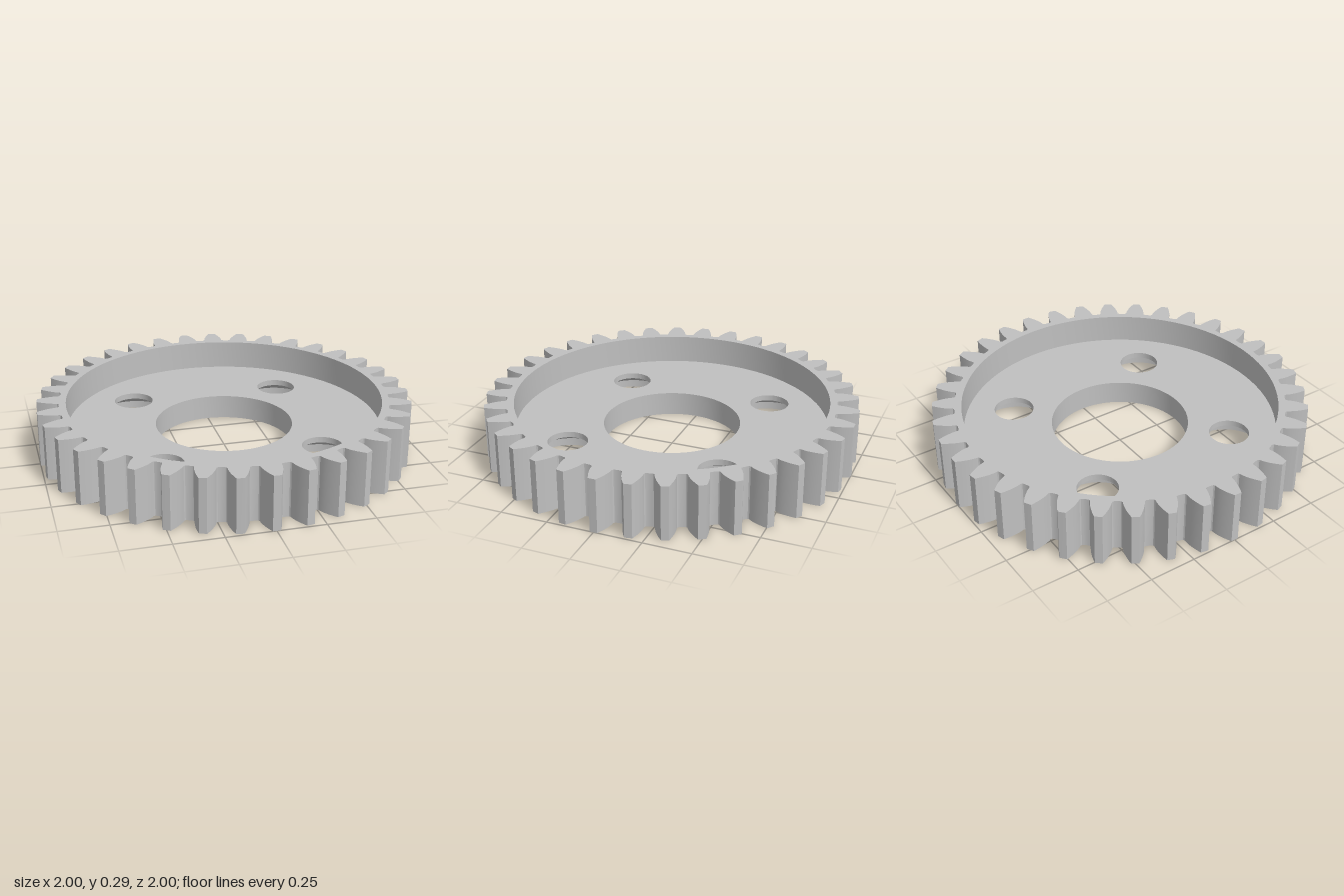
import * as THREE from 'three';
import { toCreasedNormals } from 'three/addons/utils/BufferGeometryUtils.js';

const TEETH = 36, HEIGHT = 0.29, WEB = 0.132;
const TIP = 1, PITCH = 0.947, BASE = 0.89, ROOT = 0.882;
const RECESS = 0.845, BORE = 0.37, BOLT = 0.107, SINK = 0.21, BOLT_POS = 0.421;
const SEG = 96;

// Involute gear outline, counter-clockwise
function gearOutline() {
  const inv = (r) => { const a = Math.acos(Math.min(1, BASE / r)); return Math.tan(a) - a; };
  const baseAngle = Math.PI / (2 * TEETH) + inv(PITCH);
  const flank = [[ROOT, baseAngle + 0.014], [ROOT + 0.002, baseAngle + 0.006]];
  for (let i = 0; i <= 6; i++) {
    const r = BASE + (TIP - BASE) * i / 6;
    flank.push([r, baseAngle - inv(r)]);
  }
  const points = [];
  for (let t = 0; t < TEETH; t++) {
    const mid = t / TEETH * Math.PI * 2;
    const add = (r, a) => points.push(new THREE.Vector2(r * Math.cos(mid + a), r * Math.sin(mid + a)));
    flank.forEach(([r, a]) => add(r, -a));
    add(TIP, 0);
    [...flank].reverse().forEach(([r, a]) => add(r, a));
  }
  return points;
}

function circle(r, x = 0, y = 0) {
  return new THREE.Path().absarc(x, y, r, 0, Math.PI * 2, false);
}

// Flat horizontal face with holes
function face(shape, holes, y, up) {
  shape.holes.push(...holes);
  return new THREE.ShapeGeometry(shape, SEG / 2).rotateX(up ? -Math.PI / 2 : Math.PI / 2).translate(0, y, 0);
}

// Upright wall following a closed outline
function wall(points, height) {
  const pos = [];
  points.forEach((p, i) => {
    const q = points[(i + 1) % points.length];
    pos.push(p.x, p.y, 0, q.x, q.y, 0, q.x, q.y, height);
    pos.push(p.x, p.y, 0, q.x, q.y, height, p.x, p.y, height);
  });
  const g = new THREE.BufferGeometry();
  g.setAttribute('position', new THREE.Float32BufferAttribute(pos, 3));
  return toCreasedNormals(g.rotateX(-Math.PI / 2), 0.5);
}

// Inward-facing round wall; the profile runs from top to bottom
function innerWall(profile) {
  const pts = profile.map(([r, y]) => new THREE.Vector2(r, y));
  return toCreasedNormals(new THREE.LatheGeometry(pts, SEG), 0.5);
}

export function createModel() {
  const group = new THREE.Group();
  group.name = 'spurGear';
  const steel = new THREE.MeshStandardMaterial({ color: 0xc0c0c0 });
  steel.name = 'steel grey';
  const add = (name, geometry) => {
    const mesh = new THREE.Mesh(geometry, steel);
    mesh.name = name;
    group.add(mesh);
    return mesh;
  };

  const outline = gearOutline();
  const corners = [[1, 1], [-1, 1], [-1, -1], [1, -1]].map(([x, y]) => [x * BOLT_POS, y * BOLT_POS]);
  const boltCircles = (r) => corners.map(([x, y]) => circle(r, x, y));
  const disc = new THREE.Shape().absarc(0, 0, RECESS, 0, Math.PI * 2, false);

  // Toothed rim
  add('teeth', wall(outline, HEIGHT));
  add('rimTop', face(new THREE.Shape(outline), [circle(RECESS)], HEIGHT, true));
  add('recessWall', innerWall([[RECESS, HEIGHT], [RECESS, WEB]]));

  // Web with central bore
  add('webTop', face(disc, [circle(BORE), ...boltCircles(BOLT)], WEB, true));
  add('bottomFace', face(new THREE.Shape(outline), [circle(BORE), ...boltCircles(SINK)], 0, false));
  add('boreWall', innerWall([[BORE, WEB], [BORE, 0]]));

  // Bolt holes, countersunk from below
  corners.forEach(([x, z]) => {
    const hole = add('boltHole', innerWall([[BOLT, WEB], [BOLT, 0.1], [SINK, 0.042], [SINK, 0]]));
    hole.position.set(x, 0, z);
  });
  return group;
}
